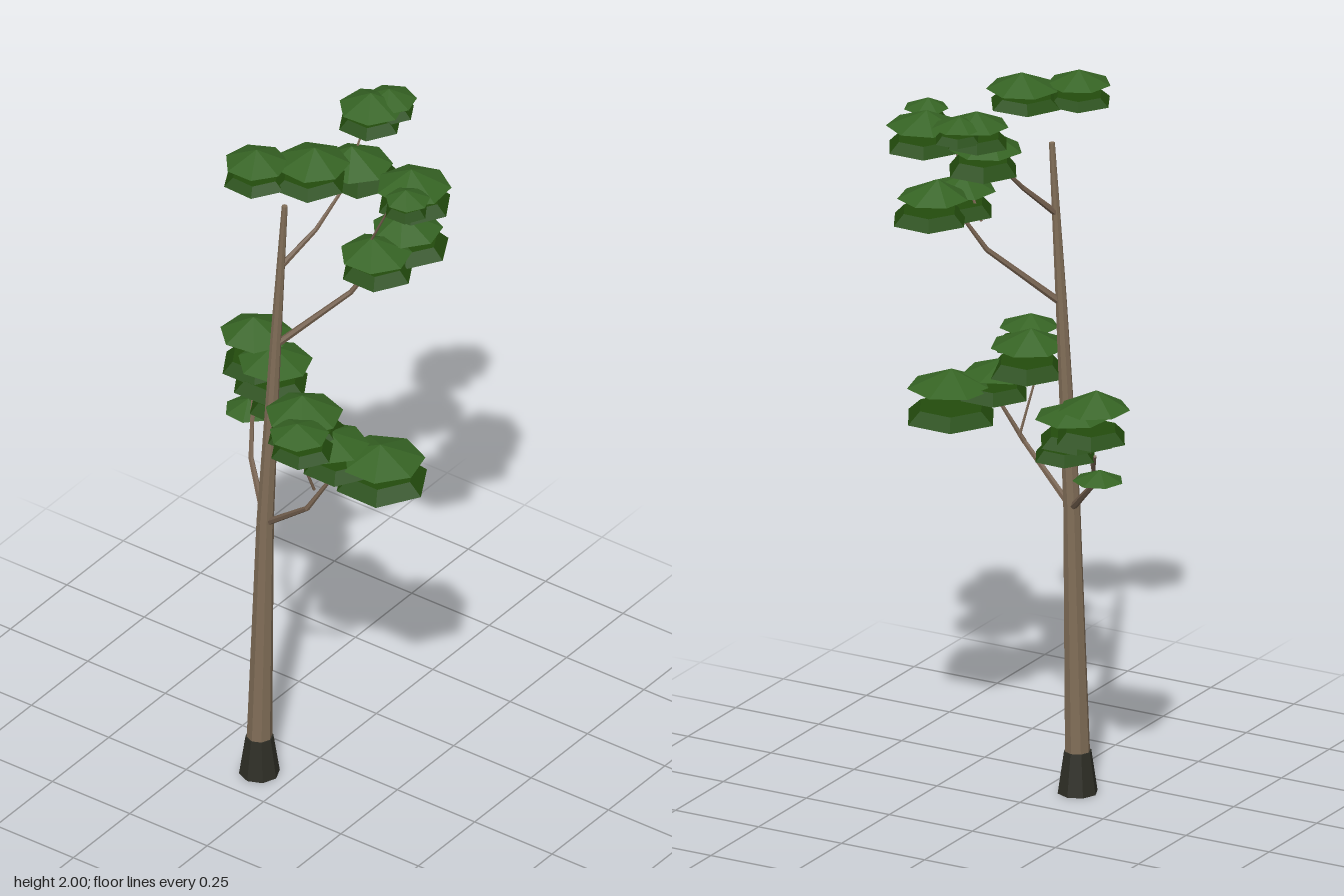
import * as THREE from 'three';

const mat = (name, color) => {
  const m = new THREE.MeshStandardMaterial({ color, flatShading: true });
  m.name = name;
  return m;
};

export function createModel() {
  const tree = new THREE.Group();
  tree.name = 'tree';
  const bark = mat('bark', 0x806d57);
  const branchBark = mat('branchBark', 0x75614f);
  const root = mat('darkRoot', 0x2e2e26);
  const leafLight = mat('leafLight', 0x366424);
  const leafDark = mat('leafDark', 0x234c0d);

  let seed = 7;
  const rand = () => (seed = (seed * 16807) % 2147483647) / 2147483647;

  const add = (name, geometry, material) => {
    const mesh = new THREE.Mesh(geometry, material);
    mesh.name = name;
    tree.add(mesh);
    return mesh;
  };

  // Tapered cylinder between two points
  const limb = (name, a, b, ra, rb, sides, material) => {
    const p = new THREE.Vector3(...a), q = new THREE.Vector3(...b);
    const dir = q.clone().sub(p);
    const mesh = add(name, new THREE.CylinderGeometry(rb, ra, dir.length(), sides), material);
    mesh.position.copy(p).add(q).multiplyScalar(0.5);
    mesh.quaternion.setFromUnitVectors(new THREE.Vector3(0, 1, 0), dir.normalize());
  };

  // Flared root collar
  add('rootCollar', new THREE.CylinderGeometry(0.037, 0.054, 0.115, 8), root)
    .position.set(-0.145, 0.0575, -0.09);

  // Leaning trunk
  const trunk = [[-0.145, 0.1, -0.09], [-0.137, 0.8, -0.077], [-0.125, 1.37, -0.052], [-0.115, 1.805, -0.03]];
  const trunkRadii = [0.034, 0.023, 0.015, 0.008];
  for (let i = 0; i < 3; i++) {
    limb('trunk', trunk[i], trunk[i + 1], trunkRadii[i], trunkRadii[i + 1], 8, bark);
  }

  // Branches and twigs: start radius, then the points they run through
  const branches = [
    [0.010, [-0.135, 0.79, -0.078], [-0.045, 0.9, -0.19], [0.06, 1.03, -0.26]],
    [0.010, [-0.135, 0.79, -0.078], [-0.18, 0.93, 0.09], [-0.15, 1.07, 0.17]],
    [0.010, [-0.125, 1.36, -0.052], [0, 1.52, 0.1], [0.05, 1.64, 0.165]],
    [0.009, [-0.118, 1.61, -0.04], [-0.03, 1.7, 0.01], [0.07, 1.8, 0.035]],
    [0.004, [0.0, 0.96, -0.22], [0.07, 1.1, -0.24]],
    [0.004, [-0.135, 0.96, 0.08], [-0.2, 1.15, 0.055]],
    [0.004, [0.01, 1.6, 0.11], [-0.015, 1.86, 0.24]],
    [0.004, [0.05, 1.78, 0.03], [0.2, 1.93, 0.01]],
  ];
  for (const [r, ...pts] of branches) {
    for (let i = 0; i < pts.length - 1; i++) {
      const taper = (k) => r * (1 - 0.28 * k);
      limb(r > 0.005 ? 'branch' : 'twig', pts[i], pts[i + 1], taper(i), taper(i + 1), 6, branchBark);
    }
  }

  // Upper leaf pad: shallow seven-sided cone with an off-centre tip
  const upperPad = ([x, z, r, y, h]) => {
    const geo = new THREE.ConeGeometry(1, 1, 7).translate(0, 0.5, 0);
    const p = geo.attributes.position;
    const dx = rand() * 0.15, dz = (rand() - 0.5) * 0.15;
    for (let i = 0; i < p.count; i++) {
      if (p.getY(i) > 0.5) p.setXYZ(i, dx, 1, dz);
    }
    geo.rotateY(Math.PI / 2 + (rand() - 0.5) * 0.3).scale(r, h, r).translate(x, y, z);
    add('upperLeafPad', geo, leafLight);
  };

  // Lower leaf pad: thin six-sided slab with bevelled sides
  const lowerPad = ([x, z, r, y, h]) => {
    const geo = new THREE.CylinderGeometry(0.72, 1, 1, 6).translate(0, 0.5, 0);
    geo.rotateY((rand() - 0.5) * 0.1).scale(r, h, r).translate(x, y, z);
    add('lowerLeafPad', geo, leafDark);
  };

  // Each pad: x, z, radius, base height, thickness
  [
    [-0.085, 0.04, 0.097, 1.955, 0.044], [-0.178, -0.075, 0.086, 1.96, 0.038],
    [0.215, 0.01, 0.088, 1.952, 0.04], [0.264, 0.035, 0.07, 1.958, 0.03],
    [0.105, 0.04, 0.097, 1.845, 0.052], [0.085, 0.24, 0.1, 1.868, 0.045],
    [0.005, 0.28, 0.06, 1.885, 0.028], [0.125, 0.19, 0.095, 1.69, 0.05],
    [0.0, 0.18, 0.096, 1.675, 0.045],
    [-0.16, 0.065, 0.104, 1.21, 0.05], [-0.26, 0.122, 0.08, 1.222, 0.034],
    [-0.135, 0.135, 0.1, 1.13, 0.04],
    [0.1, -0.28, 0.096, 1.18, 0.05], [0.075, -0.2, 0.1, 1.135, 0.045],
    [-0.07, 0.25, 0.115, 1.09, 0.048], [0.06, -0.27, 0.068, 0.965, 0.03],
  ].forEach(upperPad);
  [
    [-0.1, 0.04, 0.102, 1.905, 0.025], [-0.18, -0.075, 0.09, 1.907, 0.022],
    [0.215, 0.005, 0.088, 1.9, 0.025], [0.265, 0.035, 0.066, 1.92, 0.02],
    [0.125, 0.04, 0.1, 1.79, 0.035], [0.005, 0.275, 0.06, 1.845, 0.022],
    [0.09, 0.24, 0.102, 1.808, 0.028], [0.135, 0.195, 0.106, 1.628, 0.03],
    [0.01, 0.18, 0.1, 1.615, 0.03],
    [-0.15, 0.065, 0.108, 1.137, 0.035], [-0.25, 0.125, 0.088, 1.165, 0.025],
    [-0.13, 0.155, 0.1, 1.065, 0.03], [-0.055, 0.24, 0.128, 1.01, 0.033],
    [0.09, -0.265, 0.102, 1.09, 0.03], [0.07, -0.21, 0.106, 1.065, 0.028],
    [0.06, -0.17, 0.088, 1.012, 0.028],
  ].forEach(lowerPad);
  return tree;
}
